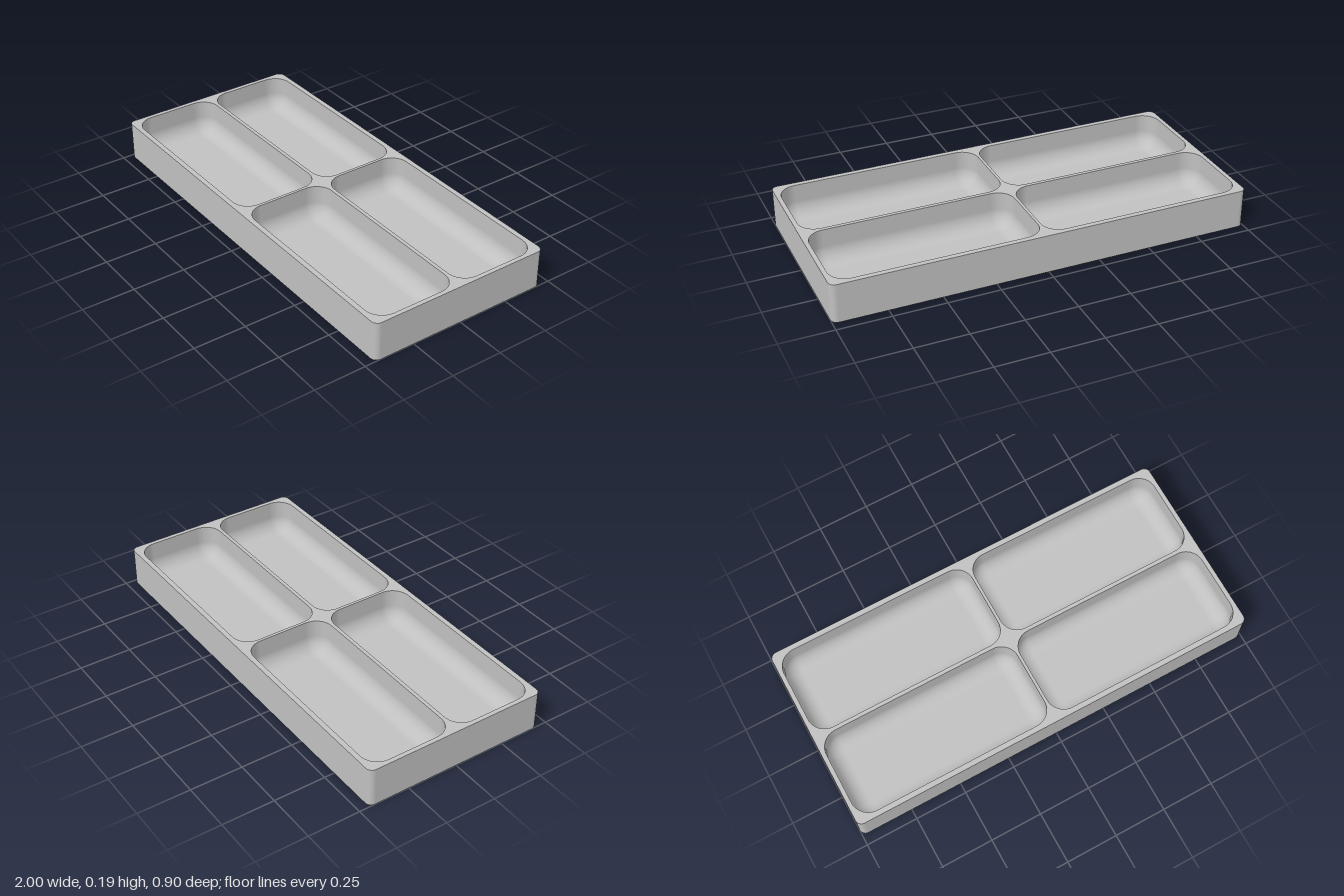
import * as THREE from 'three';

const W = 2, D = 0.904, H = 0.188;            // tray size
const PW = 0.972, PD = 0.418, PR = 0.085;     // pocket size and corner radius
const PX = 0.493, PZ = 0.218;                 // pocket centres
const FLOOR = 0.022, FILLET = 0.08;           // floor height and bottom fillet

// Points of a rounded rectangle with their outward directions
function roundedLoop(w, d, r, n = 10) {
  const pts = [];
  [[1, 1], [-1, 1], [-1, -1], [1, -1]].forEach(([sx, sz], q) => {
    for (let i = 0; i <= n; i++) {
      const a = (q + i / n) * Math.PI / 2, nx = Math.cos(a), nz = Math.sin(a);
      pts.push({ x: sx * (w / 2 - r) + nx * r, z: sz * (d / 2 - r) + nz * r, nx, nz });
    }
  });
  return pts;
}

// Wall following a loop; each profile row is [inset, y, outward normal, upward normal]
function wall(loop, profile) {
  const pos = [], nor = [], idx = [], m = loop.length;
  for (const [inset, y, no, nu] of profile) {
    for (const p of loop) {
      pos.push(p.x - p.nx * inset, y, p.z - p.nz * inset);
      nor.push(p.nx * no, nu, p.nz * no);
    }
  }
  for (let k = 0; k < profile.length - 1; k++) {
    for (let j = 0; j < m; j++) {
      const a = k * m + j, b = k * m + (j + 1) % m;
      idx.push(a, a + m, b, b, a + m, b + m);
    }
  }
  const g = new THREE.BufferGeometry();
  g.setAttribute('position', new THREE.Float32BufferAttribute(pos, 3));
  g.setAttribute('normal', new THREE.Float32BufferAttribute(nor, 3));
  g.setIndex(idx);
  return g;
}

// Flat horizontal face, with optional holes
function face(loop, y, up = true, holes = []) {
  const shape = new THREE.Shape(loop.map(p => new THREE.Vector2(p.x, p.z)));
  for (const h of holes) shape.holes.push(new THREE.Path(h.map(p => new THREE.Vector2(p.x, p.z))));
  return new THREE.ShapeGeometry(shape).rotateX(up ? -Math.PI / 2 : Math.PI / 2).translate(0, y, 0);
}

export function createModel() {
  const tray = new THREE.Group();
  tray.name = 'compartmentTray';
  const grey = new THREE.MeshStandardMaterial({ color: 0xc0c0c0 });
  grey.name = 'grey';
  const add = (name, geometry, parent = tray) => {
    const mesh = new THREE.Mesh(geometry, grey);
    mesh.name = name;
    parent.add(mesh);
  };

  const outer = roundedLoop(W, D, 0.03);
  const pocket = roundedLoop(PW, PD, PR);
  const centres = [[-PX, -PZ], [PX, -PZ], [-PX, PZ], [PX, PZ]];
  const holes = centres.map(([cx, cz]) => pocket.map(p => ({ x: p.x + cx, z: p.z + cz })));

  // Outer shell
  add('outerWall', wall(outer, [[0, 0, 1, 0], [0, H, 1, 0]]));
  add('topRim', face(outer, H, true, holes));
  add('underside', face(outer, 0, false));

  // Pocket wall curving into its floor
  const profile = [[0, H, -1, 0]];
  for (let i = 0; i <= 12; i++) {
    const a = i / 12 * Math.PI / 2, c = Math.cos(a), s = Math.sin(a);
    profile.push([FILLET * (1 - c), FLOOR + FILLET * (1 - s), -c, s]);
  }
  const wallGeometry = wall(pocket, profile);
  const floorGeometry = face(roundedLoop(PW - 2 * FILLET, PD - 2 * FILLET, PR - FILLET), FLOOR);

  // Four compartments
  centres.forEach(([cx, cz]) => {
    const group = new THREE.Group();
    group.name = `${cz < 0 ? 'back' : 'front'}${cx < 0 ? 'Right' : 'Left'}Compartment`;
    group.position.set(cx, 0, cz);
    add('compartmentWall', wallGeometry, group);
    add('compartmentFloor', floorGeometry, group);
    tray.add(group);
  });
  return tray;
}
